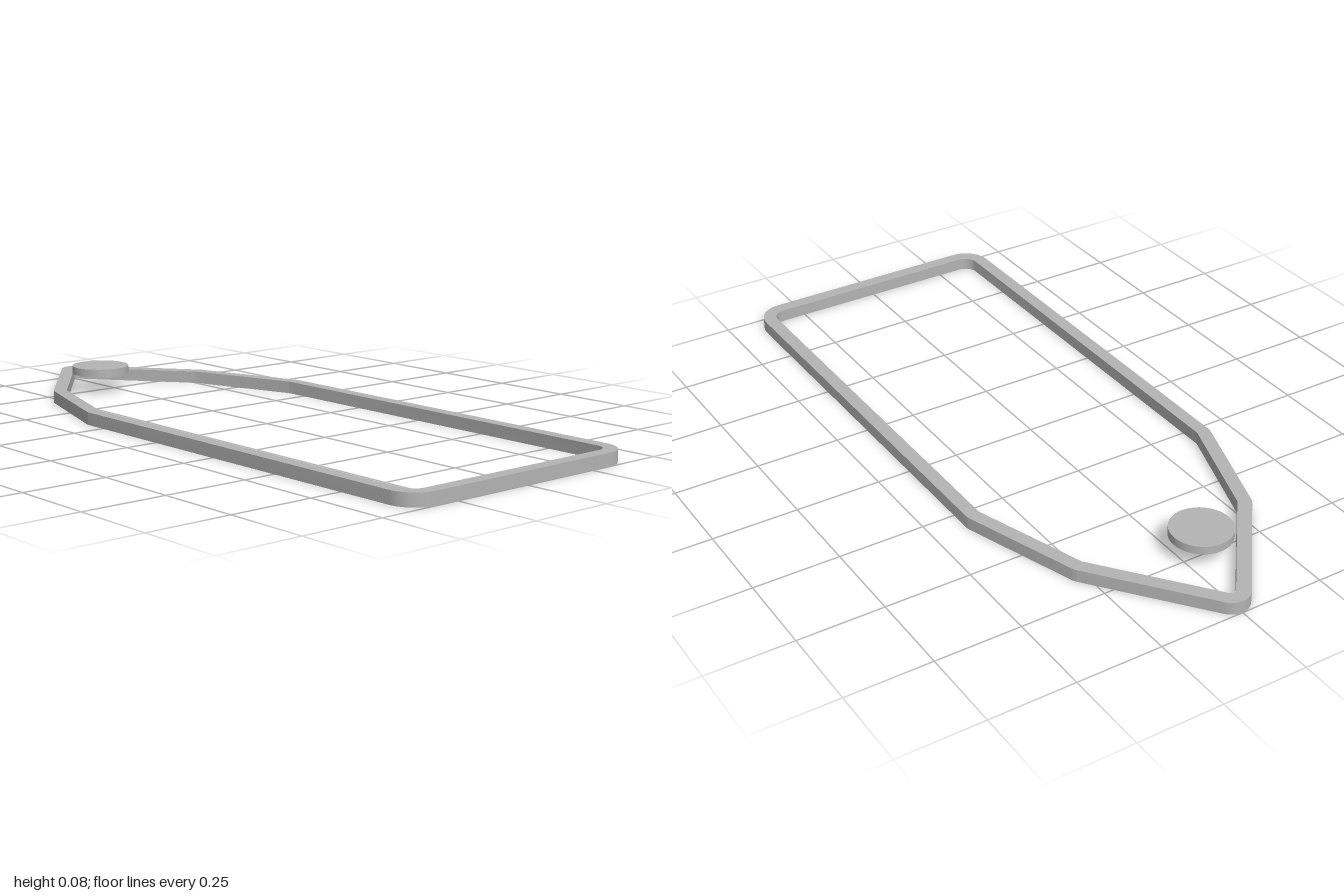
import * as THREE from 'three';
import { toCreasedNormals } from 'three/addons/utils/BufferGeometryUtils.js';

const WALL = 0.04;
const HEIGHT = 0.037;

// Corners counter-clockwise in plan (x, -z), each with its outer rounding radius
const right = [
  [0.403, -1, 0.08],
  [0.403, 0.322, 0.045],
  [0.288, 0.666, 0.05],
];
const corners = [
  ...right,
  [0, 1.034, 0.055],
  ...right.map(([x, y, r]) => [-x, y, r]).reverse(),
];

// Rounded outline moved inwards by inset; the arcs stay concentric
function outline(inset) {
  const points = [];
  const n = corners.length;
  corners.forEach(([x, y, r], i) => {
    const p = new THREE.Vector2(x, y);
    const [px, py] = corners[(i + n - 1) % n];
    const [nx, ny] = corners[(i + 1) % n];
    const before = new THREE.Vector2(x - px, y - py).normalize();
    const after = new THREE.Vector2(nx - x, ny - y).normalize();
    const turn = Math.acos(before.dot(after));
    const centre = p.clone()
      .addScaledVector(before, -r * Math.tan(turn / 2))
      .add(new THREE.Vector2(-before.y, before.x).multiplyScalar(r));
    const start = Math.atan2(-before.x, before.y);
    const steps = Math.max(2, Math.ceil(turn / 0.15));
    for (let k = 0; k <= steps; k++) {
      const a = start + (turn * k) / steps;
      points.push(new THREE.Vector2(
        centre.x + (r - inset) * Math.cos(a),
        centre.y + (r - inset) * Math.sin(a),
      ));
    }
  });
  return points;
}

export function createModel() {
  const group = new THREE.Group();
  const grey = new THREE.MeshStandardMaterial({ color: 0xb4b4b4 });
  grey.name = 'grey';

  // Pointed rim lying flat
  const shape = new THREE.Shape(outline(0));
  shape.holes.push(new THREE.Path(outline(WALL)));
  const rimGeometry = new THREE.ExtrudeGeometry(shape, { depth: HEIGHT, bevelEnabled: false });
  rimGeometry.rotateX(-Math.PI / 2);
  const rim = new THREE.Mesh(toCreasedNormals(rimGeometry, 0.25), grey);
  rim.name = 'rim';
  group.add(rim);

  // Small disc floating near the point
  const disc = new THREE.Mesh(new THREE.CylinderGeometry(0.088, 0.088, 0.024, 64), grey);
  disc.name = 'disc';
  disc.position.set(-0.061, 0.07, -0.738);
  group.add(disc);

  return group;
}
